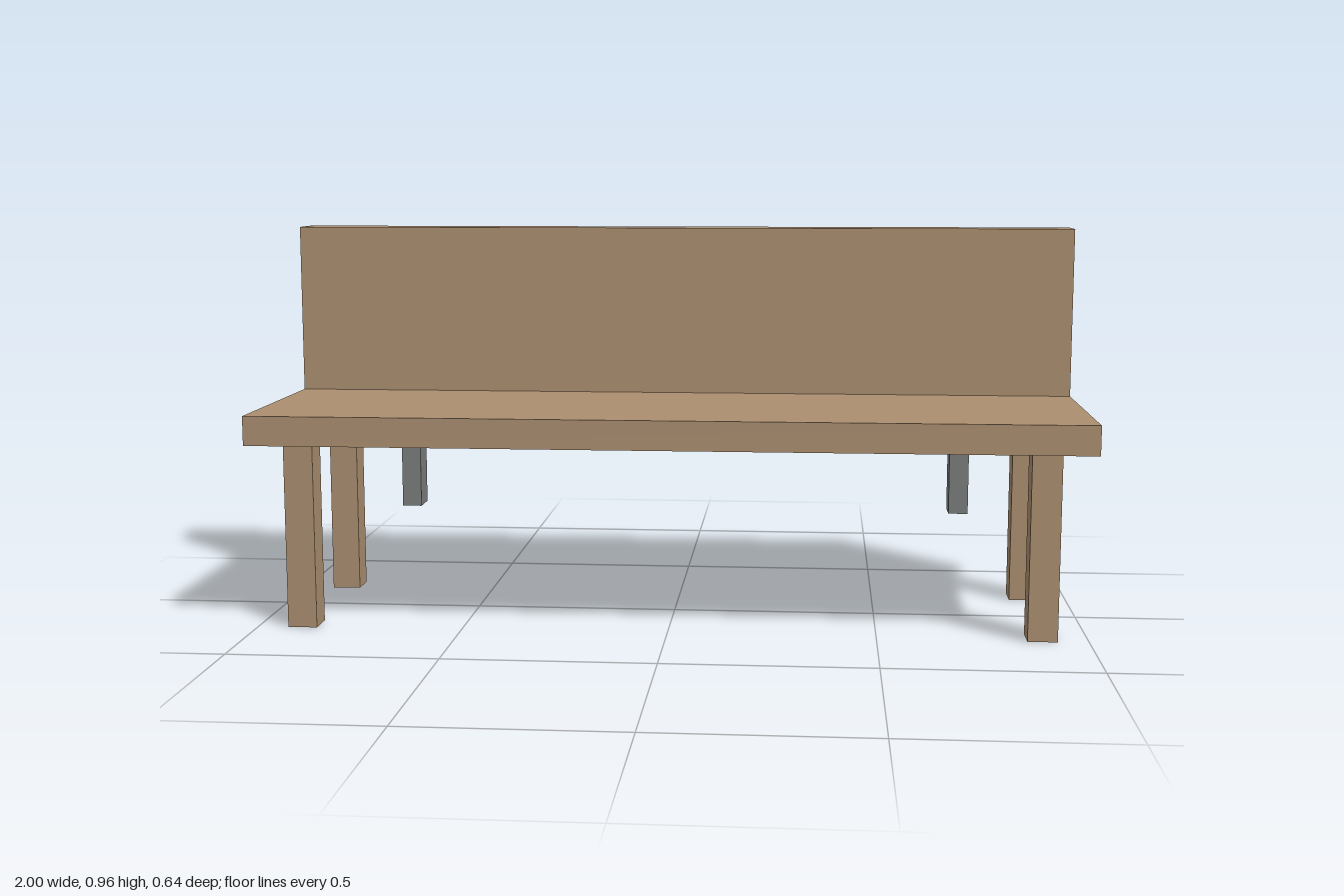
import * as THREE from 'three';

const wood = new THREE.MeshStandardMaterial({ name: 'wood', color: 0xab8e70 });
const metal = new THREE.MeshStandardMaterial({ name: 'greyMetal', color: 0x7a7d7c });

// Box given by its min and max on each axis
function box(name, material, [x0, x1], [y0, y1], [z0, z1]) {
  const mesh = new THREE.Mesh(new THREE.BoxGeometry(x1 - x0, y1 - y0, z1 - z0), material);
  mesh.position.set((x0 + x1) / 2, (y0 + y1) / 2, (z0 + z1) / 2);
  mesh.name = name;
  return mesh;
}

export function createModel() {
  const bench = new THREE.Group();
  bench.name = 'bench';

  // Seat slab and upright backrest
  bench.add(box('seat', wood, [-1, 1], [0.457, 0.528], [-0.208, 0.318]));
  bench.add(box('backrest', wood, [-1, 1], [0.411, 0.955], [-0.318, -0.208]));

  // Legs and rear brackets, mirrored left and right
  for (const [side, s] of [['left', 1], ['right', -1]]) {
    const span = (a, b) => (s > 0 ? [a, b] : [-b, -a]);
    bench.add(box(side + 'FrontLeg', wood, span(0.855, 0.926), [0, 0.457], [0.174, 0.245]));
    bench.add(box(side + 'BackLeg', wood, span(0.855, 0.926), [0, 0.457], [-0.243, -0.172]));
    bench.add(box(side + 'Bracket', metal, span(0.7, 0.75), [0.211, 0.411], [-0.318, -0.243]));
  }
  return bench;
}
